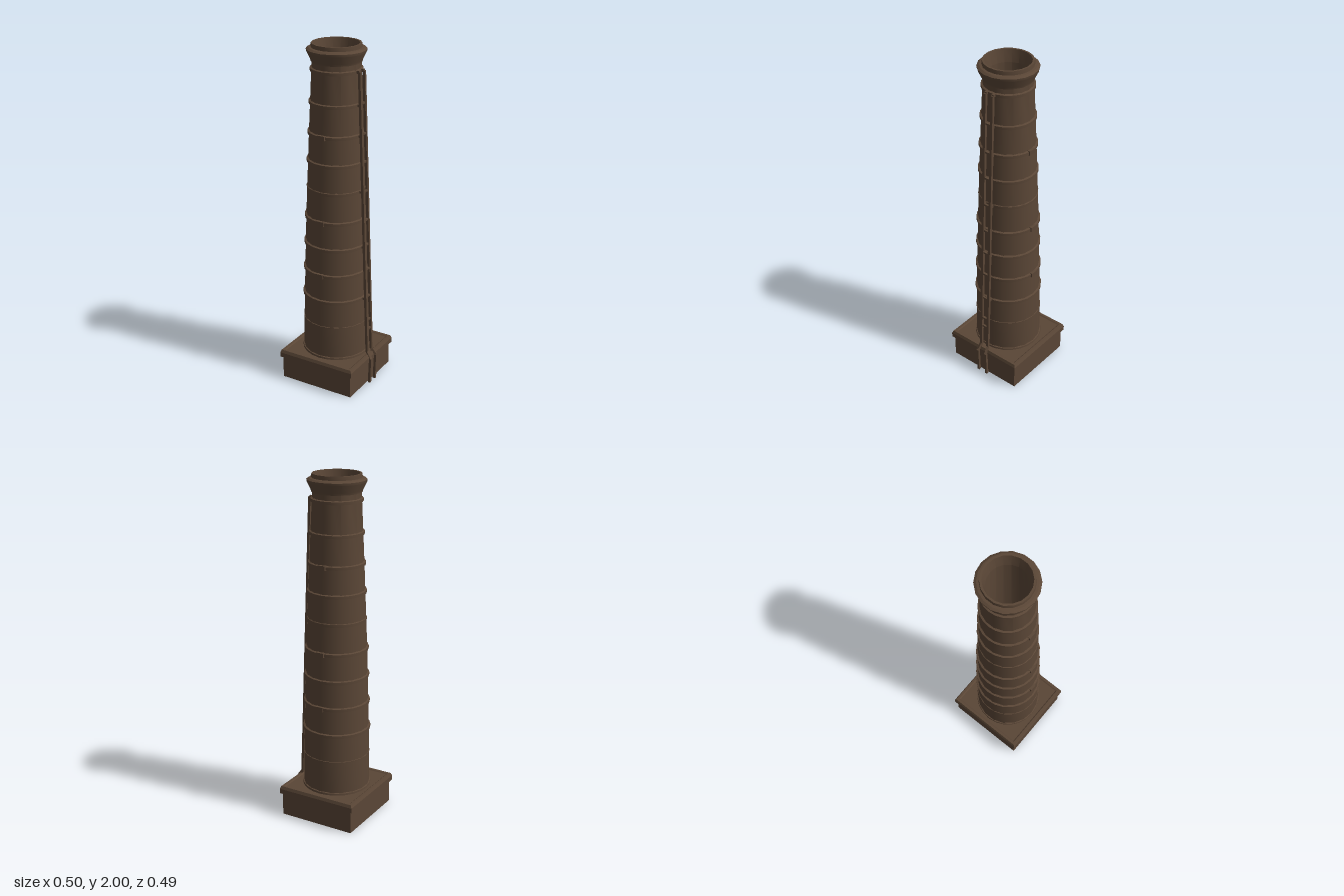
import * as THREE from 'three';
import { toCreasedNormals } from 'three/addons/utils/BufferGeometryUtils.js';

const CX = -0.01; // axis of the chimney
const brick = new THREE.MeshStandardMaterial({ color: 0x5a4636 });
brick.name = 'weathered brown';

function add(parent, name, geometry) {
  const mesh = new THREE.Mesh(geometry, brick);
  mesh.name = name;
  parent.add(mesh);
  return mesh;
}

// Ring-shaped solid turned from [radius, y] points
function turned(points, sides, crease = 0.4) {
  const geo = new THREE.LatheGeometry(points.map(p => new THREE.Vector2(p[0], p[1])), sides);
  return toCreasedNormals(geo, crease);
}

// Square-section bar between two points
function bar(parent, name, a, b, width, depth = width) {
  const from = new THREE.Vector3(...a), to = new THREE.Vector3(...b);
  const mesh = add(parent, name, new THREE.BoxGeometry(width, from.distanceTo(to), depth));
  mesh.position.copy(from).lerp(to, 0.5);
  mesh.quaternion.setFromUnitVectors(new THREE.Vector3(0, 1, 0), to.sub(from).normalize());
  return mesh;
}

// Tapering outline of the shaft
const taper = [[0.193, 0.17], [0.190, 0.38], [0.186, 0.54], [0.172, 1.02], [0.152, 1.51], [0.134, 1.9]];
function shaftRadius(y) {
  for (let i = 1; i < taper.length; i++) {
    const [r0, y0] = taper[i - 1], [r1, y1] = taper[i];
    if (y <= y1) return r0 + (r1 - r0) * (y - y0) / (y1 - y0);
  }
  return taper[taper.length - 1][0];
}

function createBase() {
  const base = new THREE.Group();
  base.name = 'base';
  // Hollow square plinth with an overhanging moulding
  const profile = [[0.224, 0.15], [0.224, 0], [0.234, 0], [0.234, 0.135], [0.247, 0.137],
    [0.247, 0.165], [0.240, 0.182], [0.226, 0.182], [0.218, 0.176], [0.218, 0.15], [0.224, 0.15]];
  const plinth = turned(profile.map(([w, y]) => [w * Math.SQRT2, y]), 4, 0.1);
  plinth.rotateY(Math.PI / 4);
  plinth.scale(0.98, 1, 1);
  add(base, 'plinth', plinth);
  // Top plate with the flue opening
  const plate = new THREE.Shape();
  plate.moveTo(-0.217, -0.221).lineTo(0.217, -0.221).lineTo(0.217, 0.221).lineTo(-0.217, 0.221).closePath();
  plate.holes.push(new THREE.Path().absarc(0, 0, 0.172, 0, Math.PI * 2, true));
  const slab = new THREE.ExtrudeGeometry(plate, { depth: 0.035, bevelEnabled: false, curveSegments: 10 });
  slab.rotateX(-Math.PI / 2).translate(0, 0.142, 0);
  add(base, 'plinthTop', slab);
  // Small keystones under the moulding
  for (const side of [1, -1]) {
    const key = add(base, 'keystone', new THREE.CylinderGeometry(0.02, 0.02, 0.012, 3));
    key.rotation.x = Math.PI / 2;
    key.scale.z = 0.6;
    key.position.set(-0.01, 0.138, side * 0.237);
  }
  return base;
}

function createShaft() {
  const shaft = new THREE.Group();
  shaft.name = 'shaft';
  // Outer wall, crown and flue in one closed profile
  const crown = [[0.139, 1.9], [0.142, 1.912], [0.163, 1.955], [0.165, 1.968], [0.152, 1.976],
    [0.139, 1.978], [0.137, 2.0], [0.126, 2.0], [0.110, 1.93]];
  add(shaft, 'chimneyWall', turned([[0.172, 0.14], ...taper, ...crown, [0.172, 0.14]], 18));
  // Iron bands
  for (const y of [0.54, 0.70, 0.86, 1.02, 1.19, 1.35, 1.51, 1.68, 1.86]) {
    const r = shaftRadius(y), out = r + (y === 1.19 ? 0.003 : 0.009);
    add(shaft, 'band', turned([[r - 0.004, y - 0.011], [out, y - 0.009], [out, y + 0.007],
      [r - 0.004, y + 0.012]], 24));
  }
  add(shaft, 'footBand', turned([[0.18, 0.172], [0.2, 0.172], [0.198, 0.188], [0.18, 0.194]], 24));
  add(shaft, 'lowerSeam', turned([[0.187, 0.375], [0.1925, 0.377], [0.1925, 0.383], [0.187, 0.385]], 24));
  // Clamps joining the bands at front and back
  for (const y of [0.70, 1.02, 1.51]) {
    for (const side of [1, -1]) {
      const clamp = add(shaft, 'clamp', new THREE.BoxGeometry(0.044, 0.026, 0.02));
      clamp.position.set(0, y, side * (shaftRadius(y) + 0.004));
    }
  }
  return shaft;
}

function createLadder() {
  const ladder = new THREE.Group();
  ladder.name = 'ladder';
  const railX = y => 0.146 + (1.86 - y) * 0.04;
  for (const side of [1, -1]) {
    const z = side * 0.024, foot = side * 0.03;
    const path = [[0.11, 1.862, z], [0.146, 1.862, z], [railX(0.2), 0.2, z], [0.240, 0.16, foot], [0.234, 0.0, foot]];
    for (let i = 1; i < path.length; i++) bar(ladder, 'rail', path[i - 1], path[i], 0.015);
    // Brackets fixing the rails to the bands
    for (const y of [0.54, 0.86, 1.19, 1.51, 1.68]) {
      bar(ladder, 'bracket', [CX + shaftRadius(y) - 0.01, y, z], [railX(y), y, z], 0.013);
    }
  }
  for (const y of [0.34, 0.4, 0.55, 0.72, 0.87, 1.02, 1.19, 1.36, 1.52, 1.69]) {
    bar(ladder, 'rung', [railX(y), y, -0.024], [railX(y), y, 0.024], 0.011);
  }
  return ladder;
}

export function createModel() {
  const model = new THREE.Group();
  model.name = 'chimney';
  const base = createBase();
  base.position.x = CX;
  const shaft = createShaft();
  shaft.position.x = CX;
  model.add(base, shaft, createLadder());
  return model;
}
